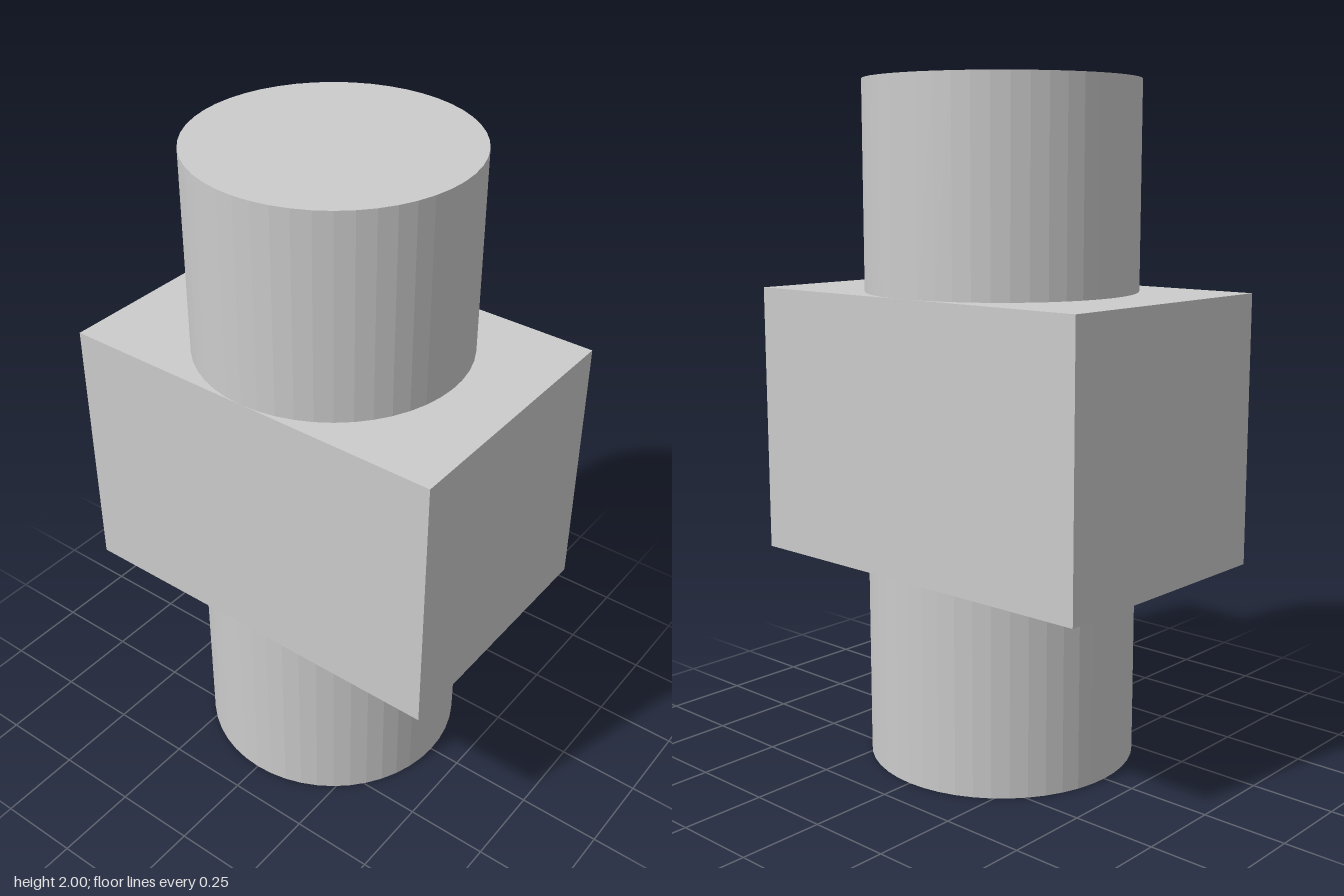
import * as THREE from 'three';

export function createModel() {
  const model = new THREE.Group();
  const material = new THREE.MeshStandardMaterial({ color: 0xcccccc, flatShading: true });

  const add = (name, geometry, y) => {
    const mesh = new THREE.Mesh(geometry, material);
    mesh.name = name;
    mesh.position.y = y;
    model.add(mesh);
  };

  // Central block, deeper than it is wide
  add('centralBlock', new THREE.BoxGeometry(0.8, 0.8, 1.2), 1);

  // Matching round posts above and below the block
  const post = new THREE.CylinderGeometry(0.4, 0.4, 0.6, 48);
  add('lowerPost', post, 0.3);
  add('upperPost', post, 1.7);

  return model;
}
